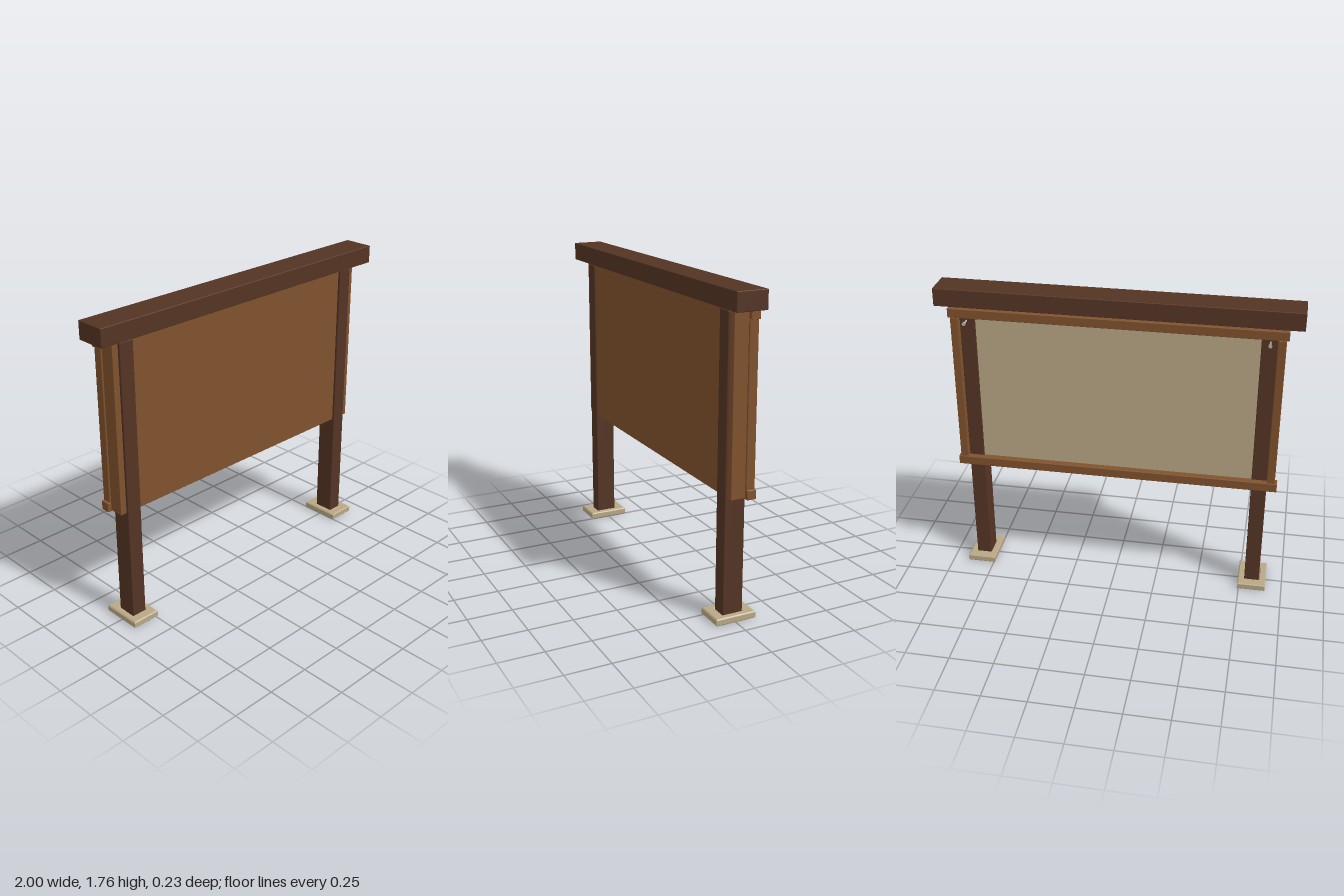
import * as THREE from 'three';
import { RoundedBoxGeometry } from 'three/addons/geometries/RoundedBoxGeometry.js';

const mat = (name, color) => {
  const m = new THREE.MeshStandardMaterial({ color });
  m.name = name;
  return m;
};

export function createModel() {
  const model = new THREE.Group();
  model.name = 'noticeBoard';
  const darkWood = mat('dark wood', 0x543424);
  const brownWood = mat('brown wood', 0x80522d);
  const tan = mat('pale tan', 0xb8a785);
  const metal = mat('screw metal', 0xb4b0a6);

  const add = (name, geometry, material) => {
    const mesh = new THREE.Mesh(geometry, material);
    mesh.name = name;
    model.add(mesh);
    return mesh;
  };
  // Softly eased timber given by its minimum and maximum corners
  const timber = (name, material, [x0, y0, z0], [x1, y1, z1], r = 0.004) => {
    const g = new RoundedBoxGeometry(x1 - x0, y1 - y0, z1 - z0, 1, r);
    g.translate((x0 + x1) / 2, (y0 + y1) / 2, (z0 + z1) / 2);
    return add(name, g, material);
  };
  const rect = (shape, w, d) => {
    shape.moveTo(-w, -d);
    shape.lineTo(w, -d);
    shape.lineTo(w, d);
    shape.lineTo(-w, d);
    shape.closePath();
    return shape;
  };

  // Cap beam
  timber('capBeam', darkWood, [-1, 1.66, -0.081], [1, 1.762, 0.093]);

  // Front panel with the pinning surface behind it
  timber('frontPanel', brownWood, [-0.78, 0.685, -0.044], [0.78, 1.645, 0.045], 0.002);
  const board = add('pinBoard', new THREE.BoxGeometry(1.556, 0.95, 0.008), tan);
  board.position.set(0, 1.165, -0.048);

  // Rails of the back frame
  timber('topRail', brownWood, [-0.923, 1.602, -0.09], [0.923, 1.655, -0.037]);
  timber('bottomRail', brownWood, [-0.923, 0.678, -0.09], [0.923, 0.731, -0.037]);

  // Collar with an opening for the post and a small bevelled edge
  const collarShape = rect(new THREE.Shape(), 0.076, 0.111);
  collarShape.holes.push(rect(new THREE.Path(), 0.049, 0.064));
  const collar = new THREE.ExtrudeGeometry(collarShape, {
    depth: 0.028, bevelEnabled: true, bevelThickness: 0.006, bevelSize: 0.006, bevelSegments: 1,
  });
  collar.rotateX(-Math.PI / 2).translate(0, 0.006, 0);

  for (const s of [-1, 1]) {
    const side = s > 0 ? 'left' : 'right';
    const span = (a, b) => (s > 0 ? [a, b] : [-b, -a]);

    const [p0, p1] = span(0.779, 0.865);
    timber(side + 'Post', darkWood, [p0, 0.001, -0.058], [p1, 1.645, 0.058]);
    add(side + 'FootCollar', collar, tan).position.x = s * 0.823;

    // Side board and the frame stile behind it
    const [b0, b1] = span(0.865, 0.902);
    timber(side + 'SideBoard', brownWood, [b0, 0.685, -0.037], [b1, 1.645, 0.045], 0.002);
    const [f0, f1] = span(0.865, 0.91);
    timber(side + 'Stile', brownWood, [f0, 0.731, -0.088], [f1, 1.602, -0.037]);

    // Screw in the back of the post
    const shank = new THREE.CylinderGeometry(0.005, 0.005, 0.05, 10).rotateX(Math.PI / 2);
    add(side + 'ScrewShank', shank, metal).position.set(s * 0.826, 1.578, -0.08);
    const head = new THREE.CylinderGeometry(0.01, 0.01, 0.009, 12).rotateX(Math.PI / 2);
    add(side + 'ScrewHead', head, metal).position.set(s * 0.826, 1.578, -0.108);
  }
  return model;
}
